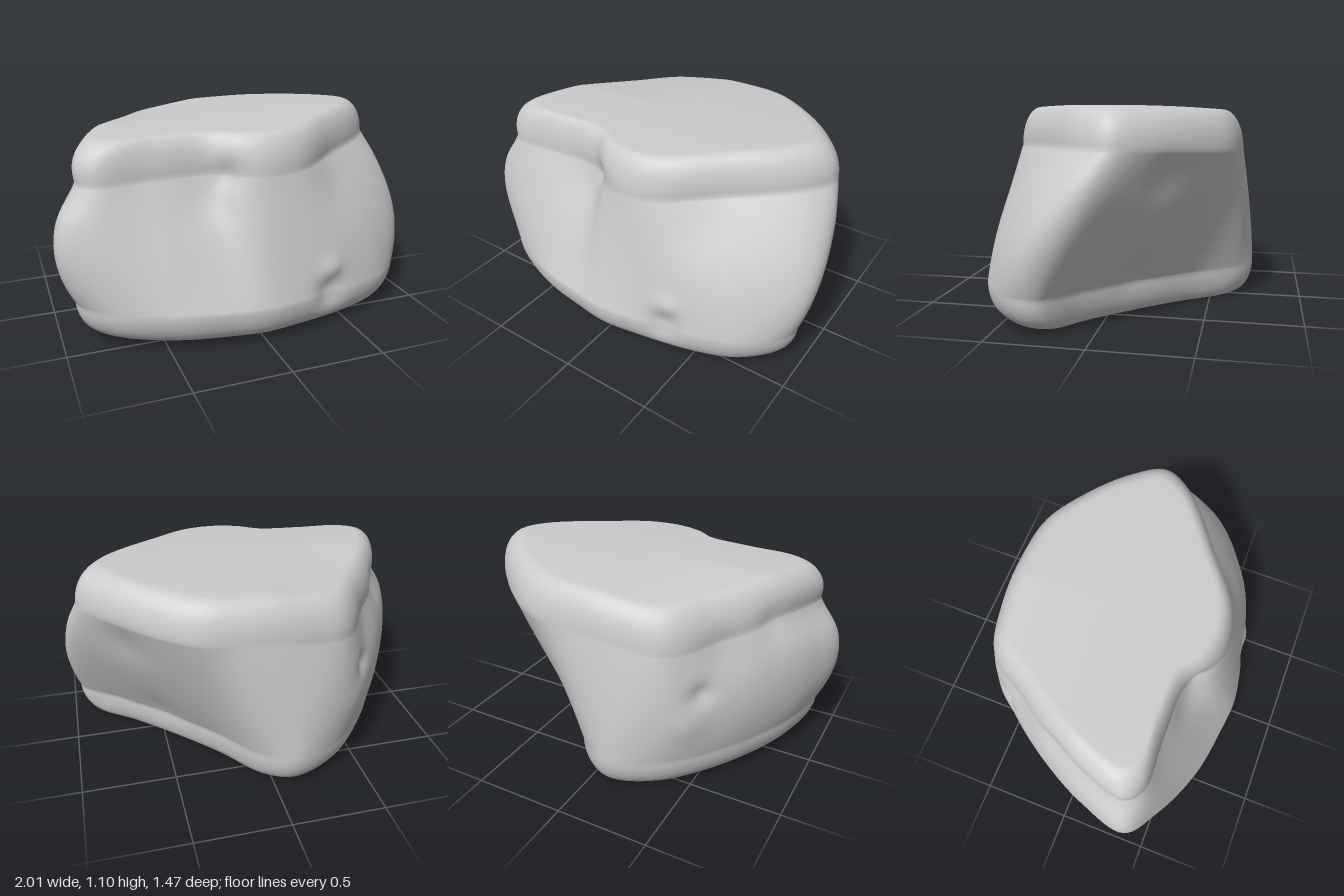
import * as THREE from 'three';

// Outline stations, running left tip -> front -> right -> back:
// [foot x, foot z, shoulder x, shoulder z, mid-height bulge]
const STATIONS = [
  [-0.91, 0.37, -0.90, 0.34, 0.10],
  [-0.80, 0.52, -0.80, 0.42, 0.05],
  [-0.50, 0.66, -0.51, 0.42, 0.02],
  [-0.20, 0.715, -0.23, 0.44, 0.0],
  [0.00, 0.735, -0.09, 0.53, 0.0],
  [0.22, 0.705, 0.07, 0.57, 0.0],
  [0.50, 0.65, 0.27, 0.53, 0.02],
  [0.78, 0.54, 0.53, 0.34, 0.06],
  [0.94, 0.36, 0.84, 0.08, 0.10],
  [0.94, 0.24, 0.92, -0.09, 0.06],
  [0.74, 0.08, 0.82, -0.27, 0.03],
  [0.50, -0.14, 0.63, -0.46, 0.02],
  [0.25, -0.40, 0.39, -0.62, 0.02],
  [0.04, -0.66, 0.15, -0.66, 0.02],
  [-0.12, -0.73, -0.18, -0.65, 0.015],
  [-0.37, -0.63, -0.40, -0.59, 0.03],
  [-0.58, -0.42, -0.57, -0.36, 0.05],
  [-0.76, -0.15, -0.73, -0.12, 0.06],
  [-0.87, 0.10, -0.85, 0.12, 0.075],
];

// Local dents (positive) and bumps (negative): [x, y, z, radius, depth]
const DENTS = [
  [0.38, 0.20, 0.66, 0.09, 0.04],
  [0.38, 0.33, 0.64, 0.06, -0.02],
  [-0.13, 0.85, 0.48, 0.07, 0.03],
  [-0.27, 0.75, 0.50, 0.15, 0.025],
  [0.45, 0.70, 0.44, 0.18, 0.02],
  [0.87, 0.73, 0.05, 0.08, -0.015],
  [0.72, 0.75, -0.32, 0.14, 0.02],
  [0.56, 0.22, -0.18, 0.12, 0.015],
  [-0.91, 0.78, 0.32, 0.11, 0.03],
  [-0.88, 0.81, 0.20, 0.11, 0.025],
  [-0.82, 0.82, 0.07, 0.11, 0.025],
  [-0.75, 0.83, -0.07, 0.11, 0.025],
  [-0.53, 0.56, -0.48, 0.06, 0.03],
  [-0.60, 0.74, -0.34, 0.13, 0.015],
  [-0.48, 0.40, -0.54, 0.10, -0.012],
];

const SEGMENTS = 160;
// Edge rounding: height and inward scale, at foot and top
const FOOT = { height: 0.17, inset: 0.14 };
const TOP = { height: 0.2, inset: 0.17 };

const loop = (pick) => new THREE.CatmullRomCurve3(
  STATIONS.map((s) => new THREE.Vector3(...pick(s))), true, 'centripetal');

// Gently tilted, domed top, lower at the back left, and slightly uneven underside
const topHeight = (x, z) => 1.075 + 0.03 * x - 0.07 * z * z
  - 0.2 * Math.max(0, -x) * Math.max(0, -z);
const footHeight = (x, z) => Math.max(0, 0.012 + 0.022 * z + 0.015 * x * x - 0.008 * x);

// Vertical profile: [height fraction, offset from that height, outline scale]
function makeProfile() {
  const rows = [];
  const caps = [0.1, 0.25, 0.4, 0.55, 0.7, 0.78];
  const arc = 14, wall = 56;
  for (const c of caps) rows.push([0, 0, c]);
  for (let i = 0; i < arc; i++) {
    const a = (i / arc) * Math.PI / 2;
    rows.push([0, FOOT.height * (1 - Math.cos(a)), 1 - FOOT.inset * (1 - Math.sin(a))]);
  }
  for (let i = 0; i <= wall; i++) {
    rows.push([i / wall, THREE.MathUtils.lerp(FOOT.height, -TOP.height, i / wall), 1]);
  }
  for (let i = 1; i <= arc; i++) {
    const a = (i / arc) * Math.PI / 2;
    rows.push([1, -TOP.height * (1 - Math.sin(a)), 1 - TOP.inset * (1 - Math.cos(a))]);
  }
  for (const c of caps.reverse()) rows.push([1, 0, c]);
  return rows;
}

function createRockGeometry() {
  const foot = loop((s) => [s[0], s[4], s[1]]);
  const shoulder = loop((s) => [s[2], s[4], s[3]]);
  const profile = makeProfile();
  const positions = [], indices = [];
  const p = new THREE.Vector3(), dent = new THREE.Vector3();

  // Rings blend from the foot outline to the shoulder outline
  for (const [t, offset, scale] of profile) {
    for (let j = 0; j < SEGMENTS; j++) {
      const a = foot.getPoint(j / SEGMENTS);
      const b = shoulder.getPoint(j / SEGMENTS);
      p.lerpVectors(a, b, t);
      const swell = 1 + (p.y * 4 * t * (1 - t)) / Math.hypot(p.x, p.z);
      p.x *= swell * scale;
      p.z *= swell * scale;
      const low = footHeight(p.x, p.z), high = topHeight(p.x, p.z);
      p.y = low + (high - low) * t + offset;

      // Push dents in and bumps out, towards or away from the core
      let push = 0;
      for (const [x, y, z, r, depth] of DENTS) {
        push += depth * Math.exp(-dent.set(x, y, z).distanceToSquared(p) / (r * r));
      }
      const shrink = 1 - push / Math.max(0.3, Math.hypot(p.x, p.z));
      positions.push(p.x * shrink, p.y, p.z * shrink);
    }
  }

  // Skin between neighbouring rings
  for (let i = 0; i < profile.length - 1; i++) {
    for (let j = 0; j < SEGMENTS; j++) {
      const k = (j + 1) % SEGMENTS;
      const a = i * SEGMENTS + j, b = i * SEGMENTS + k;
      indices.push(a, b, b + SEGMENTS, a, b + SEGMENTS, a + SEGMENTS);
    }
  }

  // Close underside and top
  const last = (profile.length - 1) * SEGMENTS;
  const bottomPole = positions.length / 3, topPole = bottomPole + 1;
  positions.push(0, footHeight(0, 0), 0, 0, topHeight(0, 0), 0);
  for (let j = 0; j < SEGMENTS; j++) {
    const k = (j + 1) % SEGMENTS;
    indices.push(bottomPole, k, j, topPole, last + j, last + k);
  }

  const geometry = new THREE.BufferGeometry();
  geometry.setAttribute('position', new THREE.Float32BufferAttribute(positions, 3));
  geometry.setIndex(indices);
  geometry.computeVertexNormals();
  return geometry;
}

export function createModel() {
  const group = new THREE.Group();
  group.name = 'boulder';
  const rock = new THREE.Mesh(
    createRockGeometry(),
    new THREE.MeshStandardMaterial({ color: 0xcccccc }));
  rock.name = 'rock';
  group.add(rock);
  return group;
}
